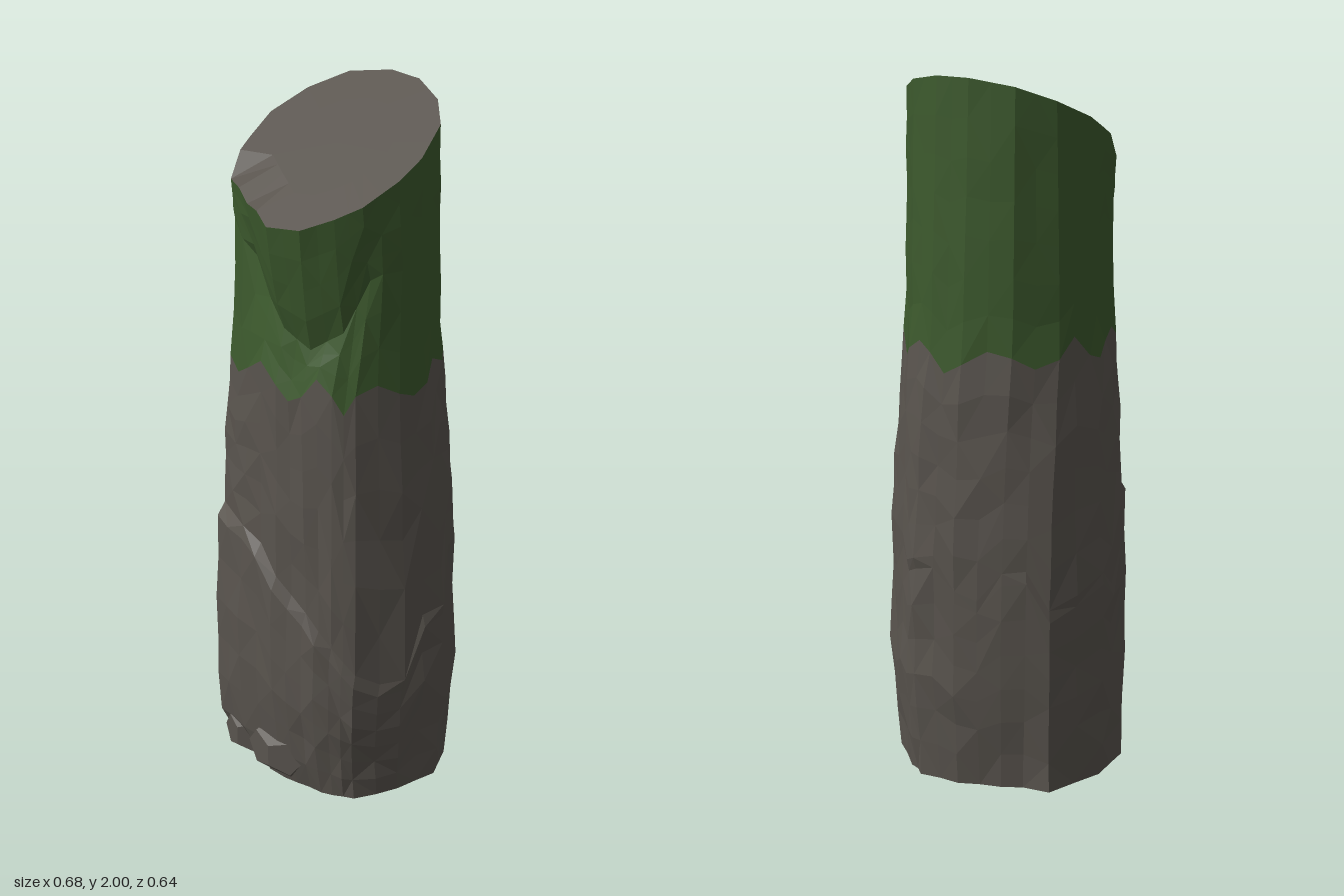
import * as THREE from 'three';

// Matching [x, z] outlines, running from the -x side round the front to the back
const BASE = [[-.338, -.05], [-.322, .1], [-.26, .228], [-.14, .26], [0, .282], [.1, .275], [.18, .262], [.24, .23],
  [.31, .1], [.338, -.04], [.285, -.16], [.18, -.28], [.12, -.315], [-.01, -.318], [-.14, -.28], [-.26, -.22]];
const NECK = [[-.275, -.03], [-.264, .08], [-.25, .17], [-.13, .245], [0, .275], [.08, .27], [.17, .245], [.215, .2],
  [.265, .08], [.275, -.02], [.25, -.12], [.17, -.22], [.08, -.27], [-.02, -.275], [-.15, -.23], [-.24, -.13]];
const RIM = [[-.268, -.02], [-.265, .07], [-.255, .16], [-.13, .235], [0, .308], [.1, .292], [.17, .235], [.22, .18],
  [.26, .08], [.27, 0], [.245, -.11], [.18, -.18], [.08, -.228], [-.02, -.235], [-.14, -.2], [-.22, -.12]];
const COLS = 32;
const LOW = 6, MID = 6, NECKROWS = 3, TOPROWS = 4;

const lerp = THREE.MathUtils.lerp;
const slant = z => 1.874 - .537 * z;
const hash = (a, b) => {
  const s = Math.sin(a * 127.1 + b * 311.7) * 43758.5453;
  return (s - Math.floor(s)) * 2 - 1;
};

// Point of an outline at a column, halfway points included
function at(outline, c) {
  const i = Math.floor(c / 2), p = outline[i % 16], q = outline[(i + 1) % 16], f = (c % 2) / 2;
  return [lerp(p[0], q[0], f), lerp(p[1], q[1], f)];
}

// Piecewise linear curve through [x, y] points
function curve(points, x) {
  for (let i = 1; i < points.length; i++) {
    const [x0, y0] = points[i - 1], [x1, y1] = points[i];
    if (x <= x1) return lerp(y0, y1, THREE.MathUtils.clamp((x - x0) / (x1 - x0), 0, 1));
  }
  return points[points.length - 1][1];
}

// Trunk cross-section: drawn in at the ground, most at the chipped front corner, and narrowing to the neck
function body(c, y) {
  const s = Math.max(0, Math.min(1, (y - .35) / .95)) ** 2;
  const a = at(BASE, c), b = at(NECK, c);
  const chip = c >= 3 && c <= 6 ? .17 : c < 3 || c > 29 ? 0 : .08;
  const k = 1 - chip * Math.max(0, 1 - y / (c >= 3 && c <= 6 ? .14 : .3));
  return [lerp(a[0], b[0], s) * k, lerp(a[1], b[1], s) * k];
}

// One column of points from the ground to the slanted rim
function column(c) {
  const front = c >= 4 && c <= 16;
  const x = at(NECK, c)[0], rim = at(RIM, c), pts = [];
  const slab = front ? curve([[-.25, .76], [-.08, .73], [.03, .6], [.17, .46], [.24, .34]], x) : .6 + hash(c, 90) * .1;
  const moss = 1.245 + (c % 4 === 1 ? -.035 : c % 4 === 3 ? .04 : 0) + hash(c, 91) * .015;
  const notch = front
    ? curve([[-.25, 1.63], [-.13, 1.56], [-.03, 1.42], [.08, 1.36], [.17, 1.42], [.22, 1.58]], x)
    : 1.58 + hash(c, 92) * .03;
  const dip = c === 4 ? .045 : c === 5 || c === 6 ? .025 : 0;
  const top = slant(rim[1]) - dip;
  const rough = (p, y, r, amount) => {
    const k = 1 + hash(c, r) * amount;
    pts.push(new THREE.Vector3(p[0] * k, y, p[1] * k));
  };
  // bulging slab on the lower front, fading out to the right
  for (let r = 0; r <= LOW; r++) {
    const t = r / LOW, p = body(c, slab * t);
    if (front) p[1] += curve([[0, 0], [.15, .012], [.5, .028], [.85, .026], [1, .02]], t) * (x > .15 ? .5 : 1);
    rough(p, slab * t, r, .02);
  }
  // plain trunk up to the moss edge
  for (let r = 0; r <= MID; r++) {
    const y = lerp(slab + .035, moss, r / MID);
    rough(body(c, y), y, r + 20, .018);
  }
  // moss leaning back to the bottom of the notch
  const inset = !front ? 0 : c < 6 || c > 14 ? .015 : .045;
  for (let r = 1; r <= NECKROWS; r++) {
    const y = lerp(moss, notch, r / NECKROWS), p = body(c, y), t = (y - moss) / (top - moss);
    rough([lerp(p[0], rim[0], t), lerp(p[1], rim[1], t) - inset * r / NECKROWS], y, r + 40, .008);
  }
  // overhang flaring out to the rim, quickest just above the notch
  const lip = pts[pts.length - 1];
  for (let r = 1; r <= TOPROWS; r++) {
    const t = r / TOPROWS, flare = front ? t ** .7 : t;
    rough([lerp(lip.x, rim[0], t), lerp(lip.z, rim[1], flare)], lerp(notch, top, t), r + 60, r === TOPROWS ? 0 : .008);
  }
  return pts;
}

function meshOf(name, triangles, material) {
  const geometry = new THREE.BufferGeometry().setFromPoints(triangles);
  geometry.computeVertexNormals();
  const mesh = new THREE.Mesh(geometry, material);
  mesh.name = name;
  return mesh;
}

export function createModel() {
  const group = new THREE.Group();
  group.name = 'brokenStonePillar';
  const stone = new THREE.MeshStandardMaterial({ color: 0x59544e, flatShading: true });
  const moss = new THREE.MeshStandardMaterial({ color: 0x3c592d, flatShading: true });
  const grid = Array.from({ length: COLS }, (_, c) => column(c));
  const last = grid[0].length - 1, edge = LOW + MID + 1;

  const band = (from, to) => {
    const out = [];
    for (let c = 0; c < COLS; c++) {
      const a = grid[c], b = grid[(c + 1) % COLS];
      for (let r = from; r < to; r++) {
        if ((c + r) % 2) out.push(a[r], b[r], b[r + 1], a[r], b[r + 1], a[r + 1]);
        else out.push(a[r], b[r], a[r + 1], b[r], b[r + 1], a[r + 1]);
      }
    }
    return out;
  };

  // flat cut face with an inner ring, so only its chipped corner drops away
  const centre = new THREE.Vector3(0, slant(.02), .02);
  const inner = grid.map(a => {
    const p = a[last].clone().lerp(centre, .4);
    return p.setY(slant(p.z));
  });
  const cut = grid.flatMap((a, c) => {
    const n = (c + 1) % COLS, p = a[last], q = grid[n][last];
    return [p, q, inner[n], p, inner[n], inner[c], centre, inner[c], inner[n]];
  });
  const ground = new THREE.Vector3();
  const underside = grid.flatMap((a, c) => [ground, grid[(c + 1) % COLS][0], a[0]]);

  group.add(meshOf('stoneTrunk', band(0, edge), stone));
  group.add(meshOf('mossyNeck', band(edge, last), moss));
  group.add(meshOf('slantedTop', cut, stone));
  group.add(meshOf('underside', underside, stone));

  // small stones set into the foot of the front
  for (const [x, y, z, sx, sy, sz] of [[-.02, .09, .25, .11, .09, .06], [-.17, .08, .215, .08, .08, .06]]) {
    const rock = new THREE.Mesh(new THREE.DodecahedronGeometry(1), stone);
    rock.name = 'footStone';
    rock.position.set(x, y, z);
    rock.scale.set(sx, sy, sz);
    group.add(rock);
  }
  return group;
}
